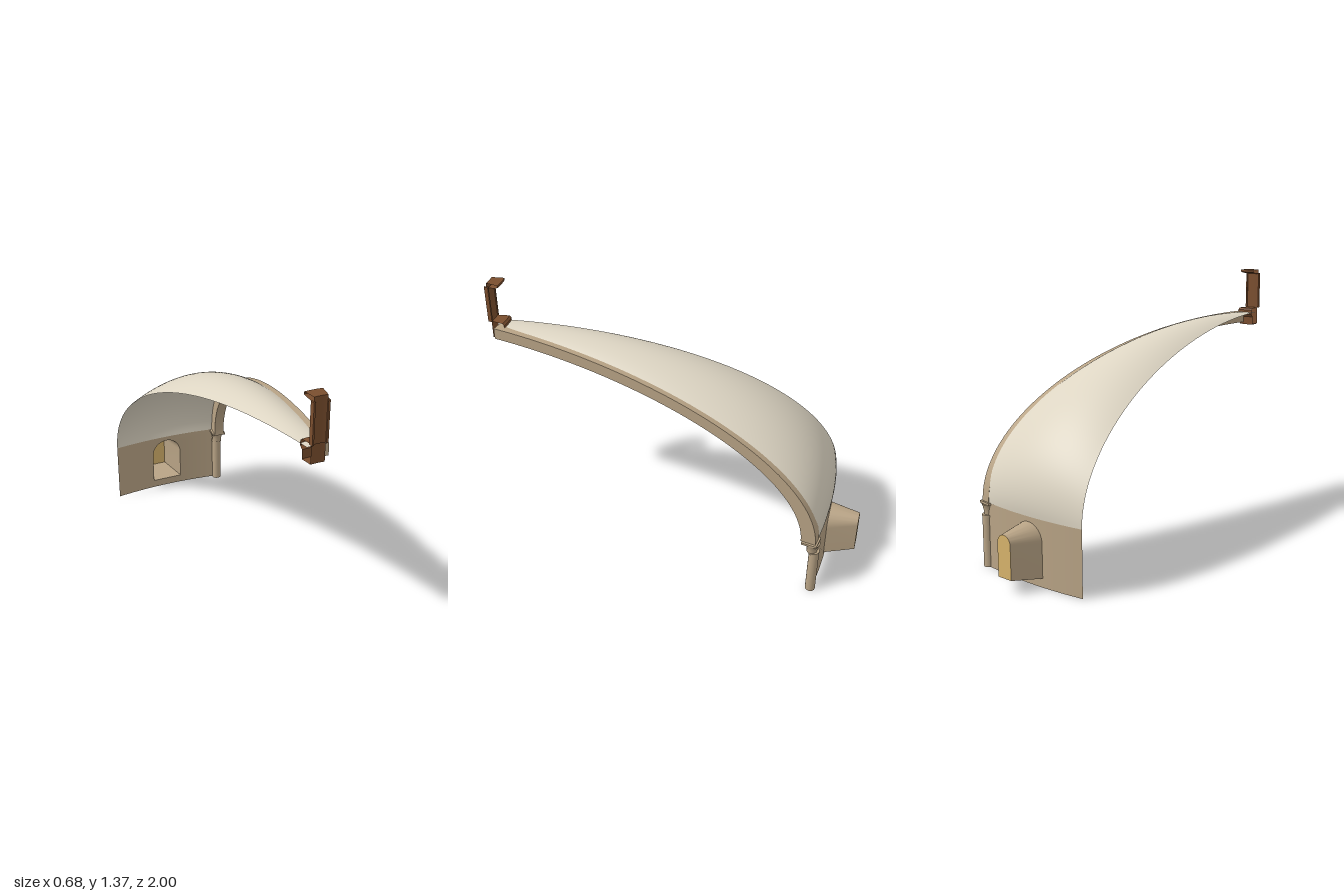
import * as THREE from 'three';
import { toCreasedNormals } from 'three/addons/utils/BufferGeometryUtils.js';

const HALF = THREE.MathUtils.degToRad(9); // half angle of the dome slice
const AX = -0.023, AZ = 1.204;            // vertical axis of the whole dome
const R = 2.05, R0 = 0.247;               // wall radius, radius of the eye at the crown
const SPRING = 0.33, RISE = 0.795;

const material = (name, color) => {
  const m = new THREE.MeshStandardMaterial({ color, side: THREE.DoubleSide });
  m.name = name;
  return m;
};

// Geometry from a grid of points f(i, j)
function loft(nu, nv, f) {
  const pos = [], index = [];
  for (let j = 0; j <= nv; j++) for (let i = 0; i <= nu; i++) pos.push(...f(i / nu, j / nv, i, j));
  for (let j = 0; j < nv; j++) for (let i = 0; i < nu; i++) {
    const a = j * (nu + 1) + i, b = a + nu + 1;
    index.push(a, a + 1, b, a + 1, b + 1, b);
  }
  const g = new THREE.BufferGeometry();
  g.setAttribute('position', new THREE.Float32BufferAttribute(pos, 3));
  g.setIndex(index);
  g.computeVertexNormals();
  return g;
}

// Round-headed outline: flat foot, straight sides, semicircular top
function archPoints(half, foot, top) {
  const pts = [new THREE.Vector2(-half, foot), new THREE.Vector2(half, foot)];
  const n = 20;
  for (let i = 0; i <= n; i++) {
    const t = Math.PI * i / n;
    pts.push(new THREE.Vector2(half * Math.cos(t), top - half + half * Math.sin(t)));
  }
  return pts;
}

export function createModel() {
  const stone = material('stone', 0xb9a486);
  const plaster = material('plaster', 0xddd5c3);
  const glass = material('amber glass', 0xd8b46c);
  const wood = material('brown wood', 0x7a4e2e);

  const model = new THREE.Group();
  model.name = 'domeSlice';
  const root = new THREE.Group();
  root.name = 'domeSliceParts';
  root.position.set(AX, 0, AZ);
  model.add(root);
  const add = (parent, name, geo, mat, x = 0, y = 0, z = 0) => {
    const m = new THREE.Mesh(geo, mat);
    m.name = name;
    m.position.set(x, y, z);
    parent.add(m);
    return m;
  };

  // Vault shell: elliptical meridian, swelling between the ribs
  add(root, 'vaultShell', loft(24, 64, (u, v) => {
    const t = v * Math.PI / 2, s = 2 * u - 1, phi = s * HALF, a = R - R0;
    const n = new THREE.Vector2(Math.cos(t) / a, Math.sin(t) / RISE).normalize();
    const bulge = 0.062 * Math.sin(2 * t) * (1 - s * s);
    const r = R0 + a * Math.cos(t) + n.x * bulge;
    return [r * Math.sin(phi), SPRING + RISE * Math.sin(t) + n.y * bulge, -r * Math.cos(phi)];
  }), plaster);

  // Curved drum wall with a window opening
  const opening = archPoints(0.0875, 0.045, 0.305);
  const pane = archPoints(0.0425, 0.07, 0.28);
  const wallPts = [], steps = 24, arc = R * HALF;
  for (let i = 0; i <= steps; i++) wallPts.push(new THREE.Vector2(-arc + 2 * arc * i / steps, 0));
  for (let i = steps; i >= 0; i--) wallPts.push(new THREE.Vector2(-arc + 2 * arc * i / steps, SPRING));
  const wallShape = new THREE.Shape(wallPts);
  wallShape.holes.push(new THREE.Path(opening));
  const wall = new THREE.ShapeGeometry(wallShape);
  const p = wall.attributes.position, nrm = wall.attributes.normal;
  for (let i = 0; i < p.count; i++) {
    const phi = p.getX(i) / R;
    p.setXYZ(i, R * Math.sin(phi), p.getY(i), -R * Math.cos(phi));
    nrm.setXYZ(i, -Math.sin(phi), 0, Math.cos(phi));
  }
  add(root, 'drumWall', wall, stone);

  // Splayed window reveal and its glass
  const paneZ = -1.0 - AZ;
  const reveal = loft(opening.length, 1, (u, v, i, j) => {
    const q = (j ? pane : opening)[i % opening.length];
    const z = j ? paneZ : -R * Math.cos(q.x / R);
    return [q.x, q.y, z];
  });
  add(root, 'windowReveal', toCreasedNormals(reveal, 0.5), stone);
  add(root, 'windowGlass', new THREE.ShapeGeometry(new THREE.Shape(pane)), glass, 0, 0, paneZ);

  // Rib with its column, laid out along the slice's left edge (local x is the radius)
  const bay = new THREE.Group();
  bay.name = 'ribAndColumn';
  bay.rotation.y = Math.PI / 2 - HALF;
  root.add(bay);
  const ribPts = [], n = 60;
  const meridian = (t, a, b) =>
    ribPts.push(new THREE.Vector2(R0 + a * Math.cos(t), SPRING + b * Math.sin(t)));
  for (let i = 0; i <= n; i++) meridian(Math.PI / 2 * i / n, R - R0 + 0.002, RISE + 0.002);
  for (let i = n; i >= 0; i--) meridian(Math.PI / 2 * i / n, R - R0 - 0.075, RISE - 0.058);
  const rib = new THREE.ExtrudeGeometry(new THREE.Shape(ribPts), { depth: 0.054, bevelEnabled: false });
  rib.translate(0, 0, -0.027);
  add(bay, 'rib', toCreasedNormals(rib, 0.5), stone);

  const colR = 2.043;
  add(bay, 'columnShaft', new THREE.CylinderGeometry(0.026, 0.026, 0.26, 24), stone, colR, 0.13);
  add(bay, 'columnNeckRing', new THREE.CylinderGeometry(0.03, 0.03, 0.01, 24), stone, colR - 0.003, 0.262);
  const capital = [[0.026, 0.262], [0.028, 0.285], [0.033, 0.305], [0.039, 0.32]]
    .map(([x, y]) => new THREE.Vector2(x, y));
  add(bay, 'columnCapital', new THREE.LatheGeometry(capital, 24), stone, colR - 0.012);
  add(bay, 'columnAbacus', new THREE.BoxGeometry(0.08, 0.012, 0.078), stone, colR - 0.022, 0.325);

  // Lantern slice: plinth, moulding, panel and cornice as one turned profile
  const lantern = new THREE.Group();
  lantern.name = 'lantern';
  root.add(lantern);
  const profile = [
    [0.22, 1.055], [0.28, 1.055], [0.28, 1.1], [0.295, 1.115], [0.295, 1.14], [0.285, 1.15],
    [0.222, 1.15], [0.222, 1.345], [0.265, 1.352], [0.282, 1.358], [0.282, 1.37],
    [0.215, 1.37], [0.215, 1.15], [0.22, 1.15], [0.22, 1.055],
  ].map(([x, y]) => new THREE.Vector2(x, y));
  const turned = new THREE.LatheGeometry(profile, 6, Math.PI - HALF, HALF * 2);
  add(lantern, 'lanternProfile', toCreasedNormals(turned, 0.4), wood);
  for (const side of [-1, 1]) {
    const pier = add(lantern, side < 0 ? 'rightPier' : 'leftPier',
      new THREE.BoxGeometry(0.009, 0.2, 0.022), wood, side * 0.036, 1.25, -0.213);
    pier.rotation.y = -side * HALF;
  }
  return model;
}
